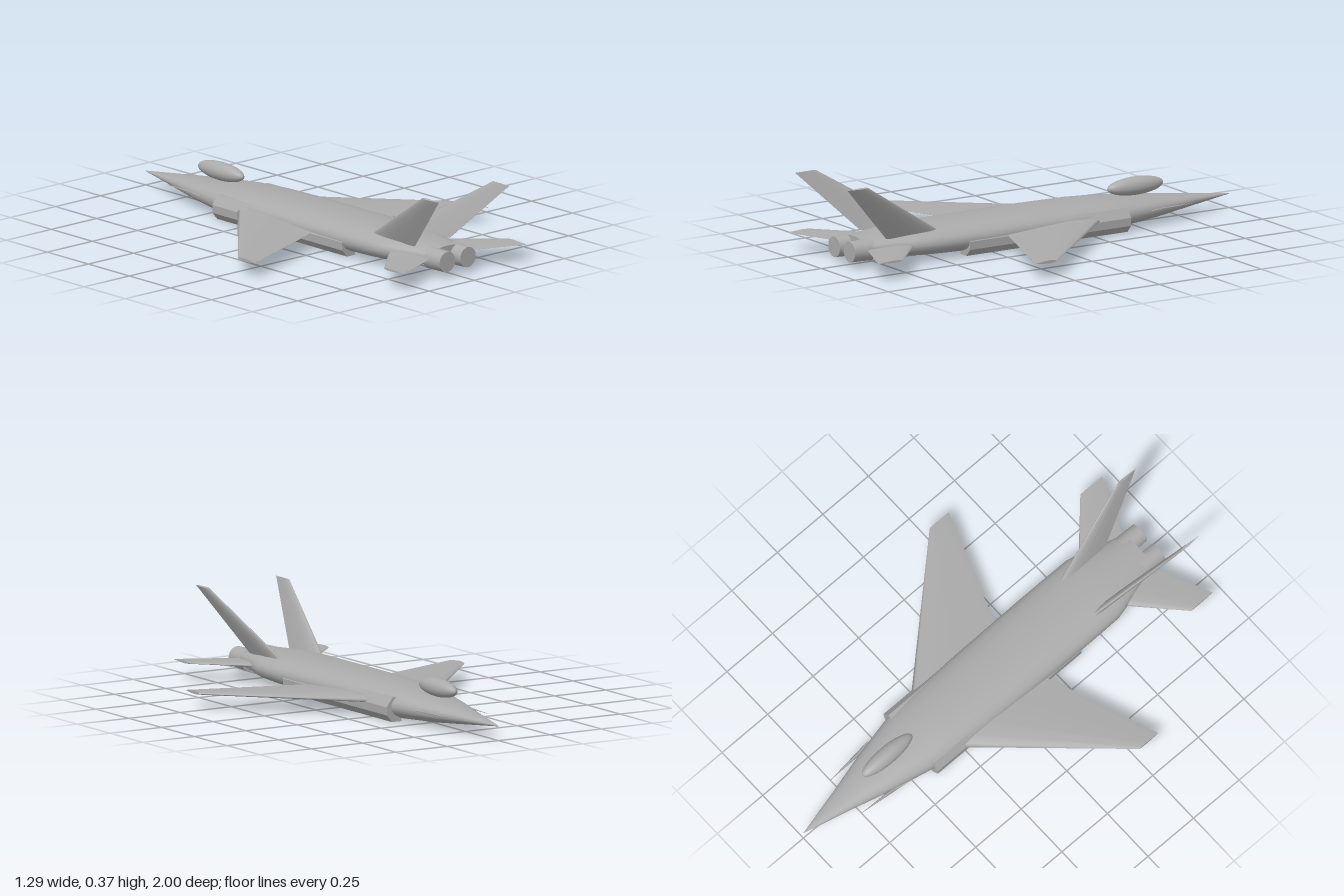
import * as THREE from 'three';

const gray = new THREE.MeshStandardMaterial({ color: 0xaaaaaa });
gray.name = 'airframe gray';

// Skin a list of rings (arrays of Vector3), cap both ends and face outwards
function loft(rings) {
  const n = rings[0].length, pos = [], idx = [];
  const addRing = (ring) => ring.forEach((p) => pos.push(p.x, p.y, p.z));
  rings.forEach(addRing);
  for (let r = 0; r < rings.length - 1; r++) {
    for (let i = 0; i < n; i++) {
      const a = r * n + i, b = r * n + ((i + 1) % n);
      idx.push(a, b, a + n, b, b + n, a + n);
    }
  }
  [rings[0], rings[rings.length - 1]].forEach((ring, end) => {
    const start = pos.length / 3;
    addRing(ring);
    for (let i = 1; i < n - 1; i++) {
      if (end) idx.push(start, start + i, start + i + 1);
      else idx.push(start, start + i + 1, start + i);
    }
  });
  // Signed volume tells whether the winding must be reversed
  const v = (i) => new THREE.Vector3().fromArray(pos, i * 3);
  let volume = 0;
  for (let i = 0; i < idx.length; i += 3) {
    volume += v(idx[i]).dot(v(idx[i + 1]).cross(v(idx[i + 2])));
  }
  if (volume < 0) idx.reverse();
  const g = new THREE.BufferGeometry();
  g.setAttribute('position', new THREE.Float32BufferAttribute(pos, 3));
  g.setIndex(idx);
  g.computeVertexNormals();
  return g;
}

// Fuselage ring: slightly squared ellipse
function hullRing([z, halfWidth, bottom, top]) {
  const ring = [], power = 2 / 2.25;
  for (let i = 0; i < 32; i++) {
    const a = (i / 32) * Math.PI * 2, c = Math.cos(a), s = Math.sin(a);
    ring.push(new THREE.Vector3(
      halfWidth * Math.sign(c) * Math.abs(c) ** power,
      (top + bottom) / 2 + ((top - bottom) / 2) * Math.sign(s) * Math.abs(s) ** power,
      z));
  }
  return ring;
}

// Airfoil half-section: [chord fraction, half thickness fraction]
const FOIL = [[0, 0], [0.04, 0.45], [0.15, 0.85], [0.35, 1], [0.65, 0.62], [1, 0.03]];

// Lifting surface between a root and a tip: { x, y, front, back, thick }
function surface(root, tip, side) {
  const normal = new THREE.Vector3(-(tip.y - root.y), tip.x - root.x, 0).normalize();
  const section = ({ x, y, front, back, thick }) => {
    const point = ([c, t], sign) => new THREE.Vector3(
      side * (x + normal.x * t * sign * thick / 2),
      y + normal.y * t * sign * thick / 2,
      front + (back - front) * c);
    return [
      ...FOIL.map((f) => point(f, 1)),
      ...FOIL.slice(1).reverse().map((f) => point(f, -1)),
    ];
  };
  return loft([section(root), section(tip)]);
}

export function createModel() {
  const model = new THREE.Group();
  model.name = 'jet';
  const add = (name, geometry) => {
    const mesh = new THREE.Mesh(geometry, gray);
    mesh.name = name;
    model.add(mesh);
    return mesh;
  };

  // Fuselage: z, half width, bottom, top
  add('fuselage', loft([
    [-1, 0.001, 0.064, 0.066], [-0.8, 0.05, 0.042, 0.09], [-0.6, 0.103, 0.021, 0.113],
    [-0.4, 0.147, 0.007, 0.131], [-0.25, 0.156, 0.005, 0.139], [0, 0.161, 0.005, 0.142],
    [0.3, 0.165, 0.007, 0.141], [0.5, 0.165, 0.014, 0.139], [0.59, 0.164, 0.019, 0.137],
    [0.65, 0.148, 0.023, 0.135], [0.74, 0.12, 0.03, 0.129], [0.84, 0.094, 0.037, 0.121],
  ].map(hullRing)));

  // Canopy bubble
  const canopy = add('canopy', new THREE.SphereGeometry(1, 32, 20));
  canopy.scale.set(0.038, 0.038, 0.135);
  canopy.position.set(0, 0.157, -0.54);

  for (const side of [1, -1]) {
    const name = side > 0 ? 'left' : 'right';

    add(name + 'Wing', surface(
      { x: 0.1, y: 0.075, front: -0.33, back: 0.17, thick: 0.036 },
      { x: 0.645, y: 0.07, front: 0.27, back: 0.375, thick: 0.014 }, side));

    add(name + 'Tailplane', surface(
      { x: 0.08, y: 0.08, front: 0.58, back: 0.83, thick: 0.02 },
      { x: 0.34, y: 0.083, front: 0.825, back: 0.945, thick: 0.01 }, side));

    add(name + 'Fin', surface(
      { x: 0.096, y: 0.115, front: 0.48, back: 0.745, thick: 0.026 },
      { x: 0.195, y: 0.37, front: 0.9, back: 1, thick: 0.011 }, side));

    // Intake duct: chamfered section along the lower flank
    const profile = [[0.095, 0.006], [0.14, 0.006], [0.166, 0.036],
      [0.167, 0.07], [0.14, 0.108], [0.095, 0.108]];
    const duct = loft([-0.41, 0.38].map((z) =>
      profile.map(([x, y]) => new THREE.Vector3(side * x, y, z)))).toNonIndexed();
    duct.computeVertexNormals();
    add(name + 'Intake', duct);

    // Slender strake beside the nose
    const section = (x, w, h, z) => [[w, 0], [0, h], [-w, 0], [0, -h]].map(([dx, dy]) =>
      new THREE.Vector3(side * (x + dx), 0.073 + dy, z));
    add(name + 'Strake', loft([
      section(0.096, 0.0008, 0.0008, -0.765), section(0.106, 0.008, 0.004, -0.61),
      section(0.118, 0.004, 0.002, -0.54)]));

    // Exhaust nozzle
    const nozzle = add(name + 'Nozzle', new THREE.CylinderGeometry(0.043, 0.046, 0.1, 32));
    nozzle.rotation.x = Math.PI / 2;
    nozzle.position.set(side * 0.057, 0.073, 0.85);
  }
  return model;
}
